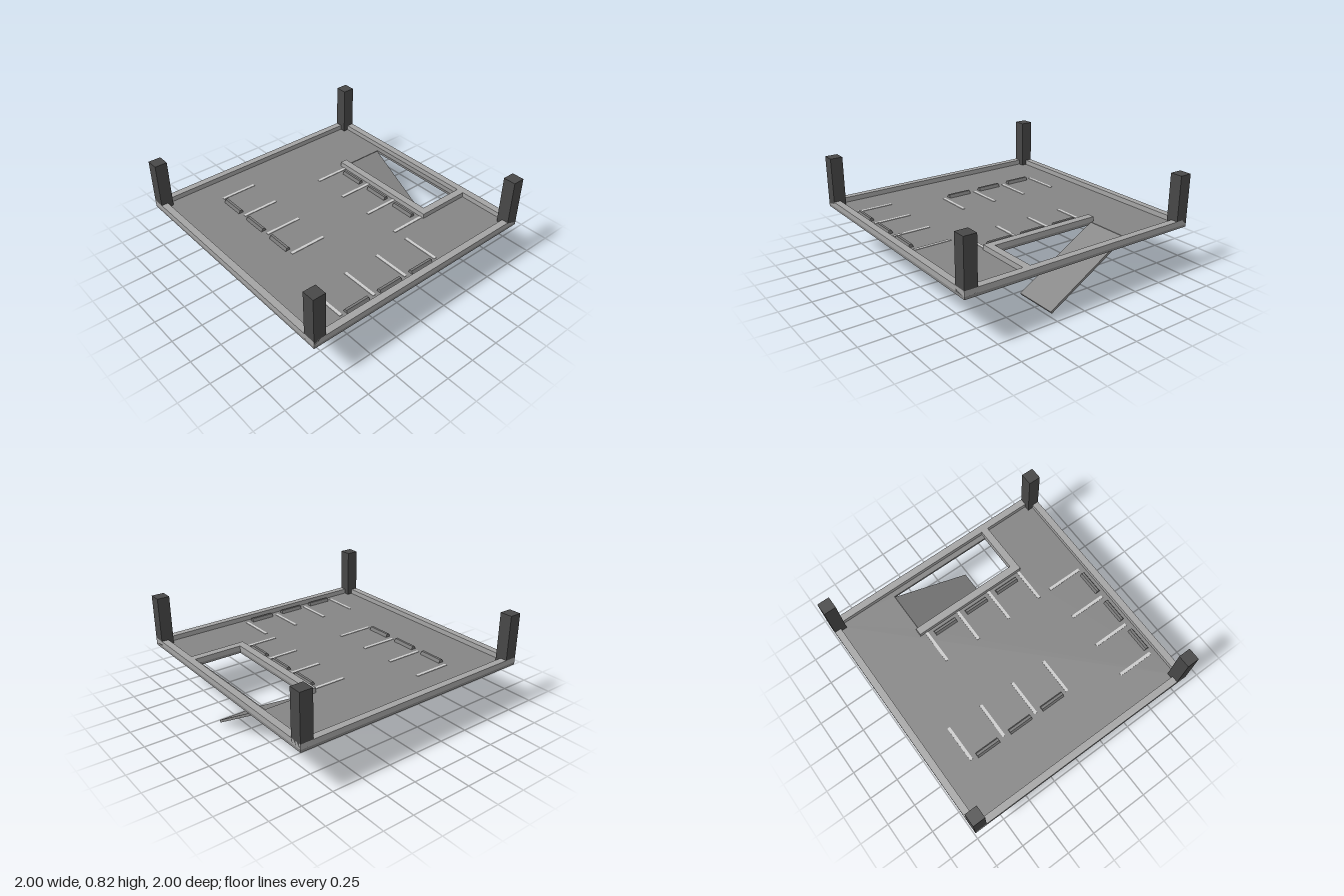
import * as THREE from 'three';

const mat = (color) => new THREE.MeshStandardMaterial({ color, flatShading: true });
const deckMat = mat(0x858585);
const wallMat = mat(0xa4a4a4);
const columnMat = mat(0x484848);
const lineMat = mat(0xdddddd);
const stopMat = mat(0x777777);

const DECK = 0.42; // height of the parking surface

function add(parent, name, geometry, material, x = 0, y = 0, z = 0) {
  const mesh = new THREE.Mesh(geometry, material);
  mesh.name = name;
  mesh.position.set(x, y, z);
  parent.add(mesh);
  return mesh;
}

// Rectangle corners in plan; plan y is -z once the slab is laid flat
const rect = (x0, x1, z0, z1) => [[x0, -z1], [x1, -z1], [x1, -z0], [x0, -z0]]
  .map(([x, y]) => new THREE.Vector2(x, y));

// Flat plate with a rectangular opening, its underside on y = 0
function plate(outer, hole, height) {
  const shape = new THREE.Shape(rect(...outer));
  shape.holes.push(new THREE.Path(rect(...hole)));
  return new THREE.ExtrudeGeometry(shape, { depth: height, bevelEnabled: false }).rotateX(-Math.PI / 2);
}

// Wheel stop: trapezoid profile run along z
function wheelStopGeometry() {
  const profile = new THREE.Shape([[-0.022, 0], [0.022, 0], [0.01, 0.025], [-0.01, 0.025]]
    .map(([x, y]) => new THREE.Vector2(x, y)));
  return new THREE.ExtrudeGeometry(profile, { depth: 0.2, bevelEnabled: false }).translate(0, 0, -0.1);
}

export function createModel() {
  const model = new THREE.Group();
  model.name = 'parkingDeck';

  // Floor slab with the ramp opening, and the low wall around its edge
  add(model, 'floorSlab', plate([-1, 1, -1, 1], [0.55, 0.9, -0.45, 0.45], 0.02), deckMat, 0, 0.4);
  add(model, 'perimeterWall', plate([-1, 1, -1, 1], [-0.945, 0.943, -0.945, 0.945], 0.04), wallMat, 0, DECK);

  // L-shaped guard wall beside the ramp opening
  const guard = new THREE.Shape([[0.49, -0.51], [0.943, -0.51], [0.943, -0.45], [0.55, -0.45], [0.55, 0.47], [0.49, 0.47]]
    .map(([x, y]) => new THREE.Vector2(x, y)));
  const guardGeometry = new THREE.ExtrudeGeometry(guard, { depth: 0.04, bevelEnabled: false }).rotateX(-Math.PI / 2);
  add(model, 'rampGuardWall', guardGeometry, wallMat, 0, DECK);

  // Ramp down to the ground
  const ramp = add(model, 'ramp', new THREE.BoxGeometry(0.35, 0.02, 0.78), deckMat, 0.72, 0.209, -0.1175);
  ramp.rotation.x = 0.539;

  // Corner columns
  for (const x of [-0.95, 0.95]) {
    for (const z of [-0.95, 0.95]) {
      add(model, 'cornerColumn', new THREE.BoxGeometry(0.1, 0.4, 0.1), columnMat, x, DECK + 0.2, z);
    }
  }

  // Painted bay lines
  const lines = new THREE.Group();
  lines.name = 'bayLines';
  model.add(lines);
  const across = new THREE.BoxGeometry(0.3, 0.004, 0.024);
  const along = new THREE.BoxGeometry(0.024, 0.004, 0.3);
  for (let i = 0; i < 4; i++) {
    add(lines, 'rightBayLine', across, lineMat, -0.4, DECK + 0.002, -0.715 + i * 0.3);
    add(lines, 'leftBayLine', across, lineMat, 0.35, DECK + 0.002, -0.415 + i * 0.3);
    add(lines, 'frontBayLine', along, lineMat, -0.69 + i * 0.3, DECK + 0.002, 0.75);
  }

  // Wheel stops, one in each bay
  const stops = new THREE.Group();
  stops.name = 'wheelStops';
  model.add(stops);
  const stop = wheelStopGeometry();
  for (let i = 0; i < 3; i++) {
    add(stops, 'rightWheelStop', stop, stopMat, -0.548, DECK, -0.565 + i * 0.302);
    add(stops, 'leftWheelStop', stop, stopMat, 0.443, DECK, -0.263 + i * 0.299);
    add(stops, 'frontWheelStop', stop, stopMat, -0.548 + i * 0.304, DECK, 0.897).rotation.y = Math.PI / 2;
  }

  return model;
}
